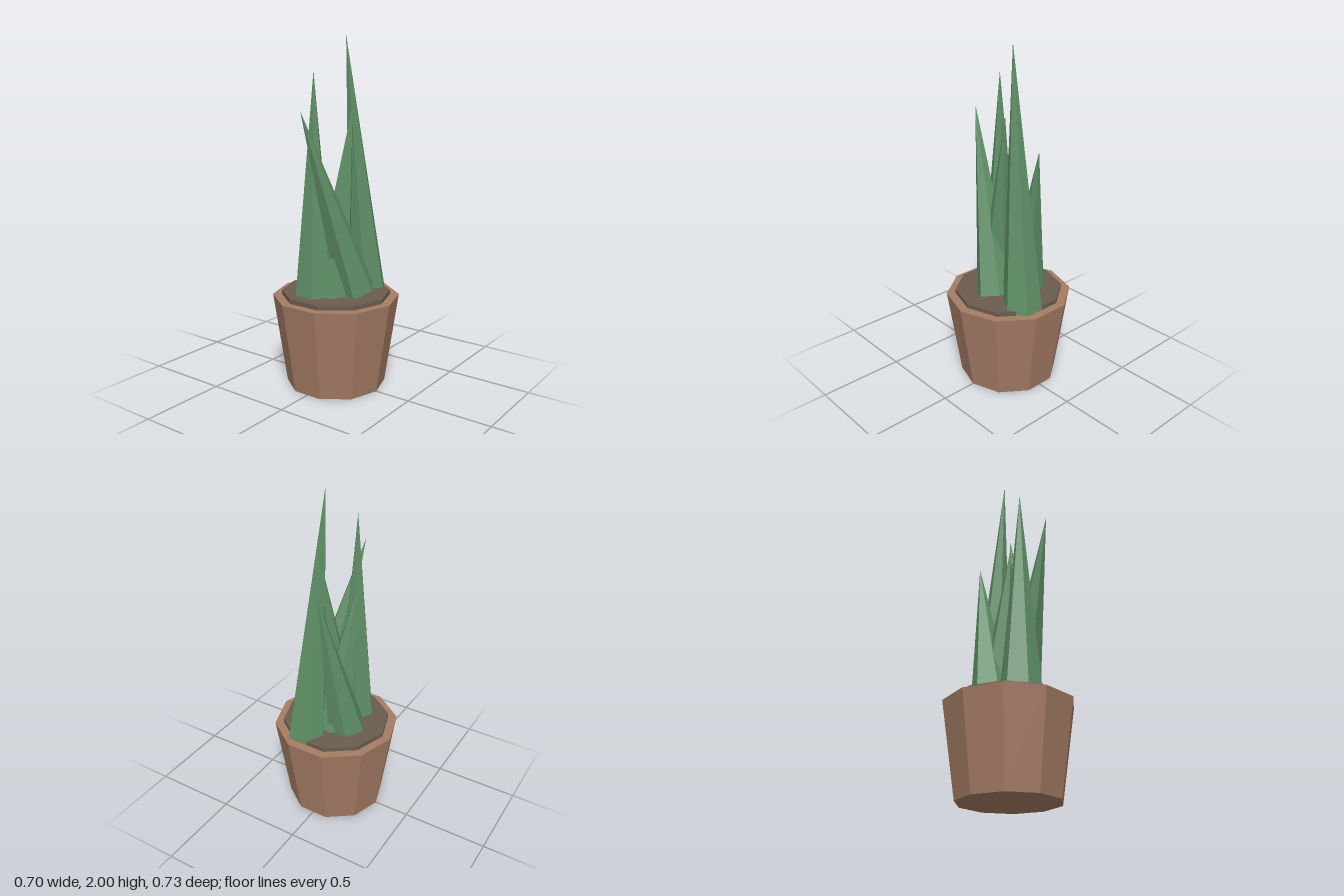
import * as THREE from 'three';

const UP = new THREE.Vector3(0, 1, 0);

function makeMaterial(color) {
  return new THREE.MeshStandardMaterial({ color, flatShading: true });
}

// Ten-sided tapered drum standing between two heights
function drum(name, rTop, rBottom, y0, y1, material) {
  const mesh = new THREE.Mesh(new THREE.CylinderGeometry(rTop, rBottom, y1 - y0, 10), material);
  mesh.position.y = (y0 + y1) / 2;
  mesh.name = name;
  return mesh;
}

// Six-sided spike leaning from its base centre to its tip
function leaf(base, tip, material) {
  const from = new THREE.Vector3(...base);
  const axis = new THREE.Vector3(...tip).sub(from);
  const length = axis.length();
  const geometry = new THREE.ConeGeometry(0.117, length, 6);
  geometry.translate(0, length / 2, 0);
  const mesh = new THREE.Mesh(geometry, material);
  mesh.quaternion.setFromUnitVectors(UP, axis.normalize());
  mesh.position.copy(from);
  return mesh;
}

export function createModel() {
  const model = new THREE.Group();
  model.name = 'pottedPlant';

  // Pot and soil
  model.add(drum('pot', 0.367, 0.288, 0, 0.53, makeMaterial(0xa67c65)));
  model.add(drum('soil', 0.315, 0.315, 0.5, 0.555, makeMaterial(0x6b5c4d)));

  // Leaves: base centre, tip
  const green = makeMaterial(0x5f8f66);
  const leaves = new THREE.Group();
  leaves.name = 'leaves';
  [
    [[0.025, 0.57, 0.12], [-0.295, 1.6, -0.015]],
    [[-0.13, 0.555, -0.055], [-0.13, 1.81, -0.055]],
    [[0.203, 0.525, 0.08], [0.06, 2, 0.025]],
    [[0.045, 0.55, -0.092], [0.218, 1.44, -0.02]],
    [[0.065, 0.55, -0.012], [-0.09, 1.44, -0.09]],
    [[-0.068, 0.55, 0.018], [0.055, 1.62, 0.075]],
  ].forEach(([base, tip], i) => {
    const mesh = leaf(base, tip, green);
    mesh.name = `leaf${i + 1}`;
    leaves.add(mesh);
  });
  model.add(leaves);

  return model;
}
